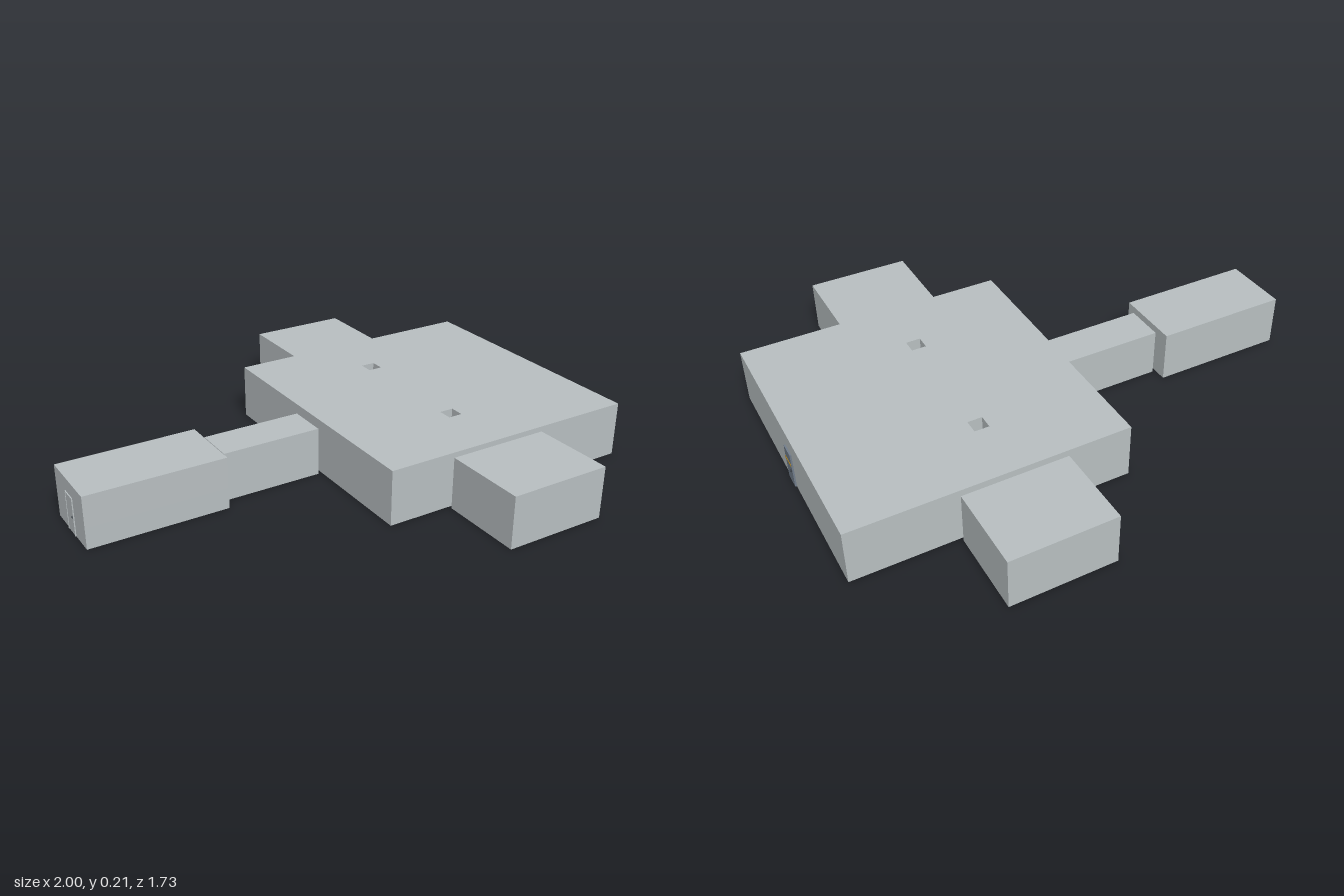
import * as THREE from 'three';

const mat = (name, color) => {
  const m = new THREE.MeshStandardMaterial({ color });
  m.name = name;
  return m;
};

export function createModel() {
  const model = new THREE.Group();
  model.name = 'station';
  const wall = mat('wall grey', 0xb8bfc1);
  const floor = mat('floor slate', 0x6c757d);
  const door = mat('door blue grey', 0x717d8b);
  const amber = mat('amber', 0xb08520);
  const dark = mat('dark trim', 0x3a4148);

  const rect = (C, [x0, x1, z0, z1]) => {
    const s = new C();
    s.moveTo(x0, -z1);
    s.lineTo(x1, -z1);
    s.lineTo(x1, -z0);
    s.lineTo(x0, -z0);
    s.closePath();
    return s;
  };

  // Upright slab over a floor rectangle, with rectangular openings
  const slab = (name, parent, area, y0, y1, holes, caps) => {
    const s = rect(THREE.Shape, area);
    s.holes = holes.map((h) => rect(THREE.Path, h));
    const g = new THREE.ExtrudeGeometry(s, { depth: y1 - y0, bevelEnabled: false });
    g.rotateX(-Math.PI / 2).translate(0, y0, 0);
    const m = new THREE.Mesh(g, [caps, wall]);
    m.name = name;
    parent.add(m);
  };

  // Room made of a slotted base and a closed upper part
  const room = (name, area, height, shafts = [], slots = [], under = floor) => {
    const g = new THREE.Group();
    g.name = name;
    slab(name + 'Base', g, area, 0, 0.08, [...shafts, ...slots], under);
    slab(name + 'Upper', g, area, 0.08, height, shafts, wall);
    model.add(g);
  };

  const box = (name, material, x0, x1, y0, y1, z0, z1) => {
    const m = new THREE.Mesh(new THREE.BoxGeometry(x1 - x0, y1 - y0, z1 - z0), material);
    m.position.set((x0 + x1) / 2, (y0 + y1) / 2, (z0 + z1) / 2);
    m.name = name;
    model.add(m);
  };

  // Main hall with two roof shafts and hollow benches under the floor
  const shafts = [-0.265, 0.265].map((z) => [0.368, 0.424, z - 0.028, z + 0.028]);
  room('mainHall', [-0.053, 0.99, -0.53, 0.53], 0.212, shafts, [
    [0.625, 0.67, -0.15, 0.15],
    [0.135, 0.18, -0.35, -0.13],
    [0.135, 0.18, 0.13, 0.35],
  ]);
  for (const [x0, x1, z0, z1] of shafts) box('shaftPlate', amber, x0, x1, 0, 0.008, z0, z1);

  // Side rooms, each joined by a doorway and a serving window
  for (const s of [-1, 1]) {
    const span = (a, b) => (s > 0 ? [a, b] : [-b, -a]);
    room('sideRoom', [0.198, 0.595, ...span(0.543, 0.863)], 0.2, [],
      [[0.3, 0.57, ...span(0.56, 0.595)]]);
    box('sideDoorway', wall, 0.22, 0.288, 0.001, 0.145, ...span(0.53, 0.543));
    box('servingWindow', door, 0.302, 0.57, 0.08, 0.16, ...span(0.53, 0.543));
  }

  // Passage and end room in line with the hall
  room('passage', [-0.455, -0.068, -0.078, 0.078], 0.187, [], [], wall);
  room('endRoom', [-0.995, -0.468, -0.132, 0.132], 0.2);
  box('passageLinkInner', wall, -0.068, -0.053, 0.001, 0.147, -0.038, 0.038);
  box('passageLinkOuter', wall, -0.468, -0.455, 0.001, 0.147, -0.038, 0.038);

  // Main entrance door
  box('entranceDoor', door, 0.99, 0.996, 0.001, 0.145, -0.032, 0.032);
  box('entranceStripe', amber, 0.996, 0.998, 0.094, 0.1, -0.03, 0.03);
  box('entranceHandle', dark, 0.996, 1, 0.066, 0.074, -0.026, -0.02);

  // End room door with frame and handle
  box('endDoor', wall, -0.997, -0.995, 0.001, 0.145, -0.03, 0.03);
  for (const s of [-1, 1]) {
    box('endDoorPost', wall, -0.999, -0.995, 0.001, 0.147, s * 0.031 - 0.002, s * 0.031 + 0.002);
  }
  box('endDoorLintel', wall, -0.999, -0.995, 0.143, 0.147, -0.029, 0.029);
  box('endDoorHandle', dark, -1, -0.997, 0.066, 0.074, 0.018, 0.024);

  return model;
}
